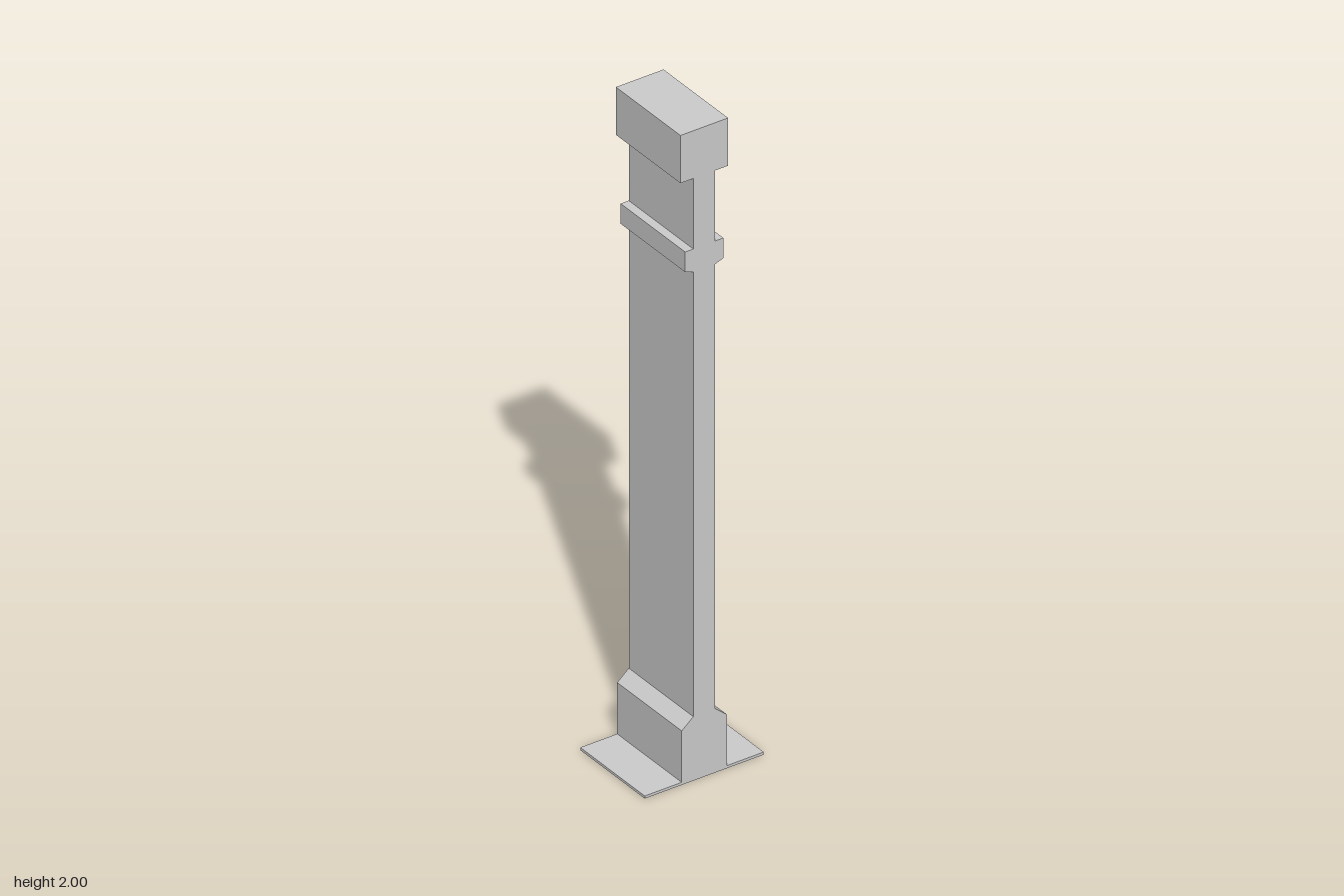
import * as THREE from 'three';

const WIDTH = 0.294;

export function createModel() {
  const model = new THREE.Group();
  model.name = 'pilaster';
  const stone = new THREE.MeshStandardMaterial({ color: 0xcccccc });
  stone.name = 'grey stone';

  // Extrudes a symmetric side profile, given as [half depth, height] from bottom to top, across the width
  function addPart(name, profile) {
    const right = profile.map(([d, y]) => new THREE.Vector2(d, y));
    const left = profile.map(([d, y]) => new THREE.Vector2(-d, y)).reverse();
    const geometry = new THREE.ExtrudeGeometry(new THREE.Shape([...right, ...left]), {
      depth: WIDTH, bevelEnabled: false,
    });
    geometry.translate(0, 0, -WIDTH / 2);
    geometry.rotateY(Math.PI / 2);
    const mesh = new THREE.Mesh(geometry, stone);
    mesh.name = name;
    model.add(mesh);
  }

  // Thin foot plate and plinth with sloped shoulders
  addPart('basePlate', [[0.19, 0], [0.19, 0.008]]);
  addPart('plinth', [[0.072, 0.008], [0.072, 0.166], [0.035, 0.197]]);

  // Slim shaft, interrupted by a band with a slightly sloped underside
  addPart('shaft', [[0.035, 0.197], [0.035, 1.565]]);
  addPart('band', [[0.035, 1.565], [0.061, 1.574], [0.061, 1.636]]);
  addPart('neck', [[0.035, 1.636], [0.035, 1.853]]);

  // Square head block
  addPart('capital', [[0.076, 1.853], [0.076, 2]]);

  return model;
}
